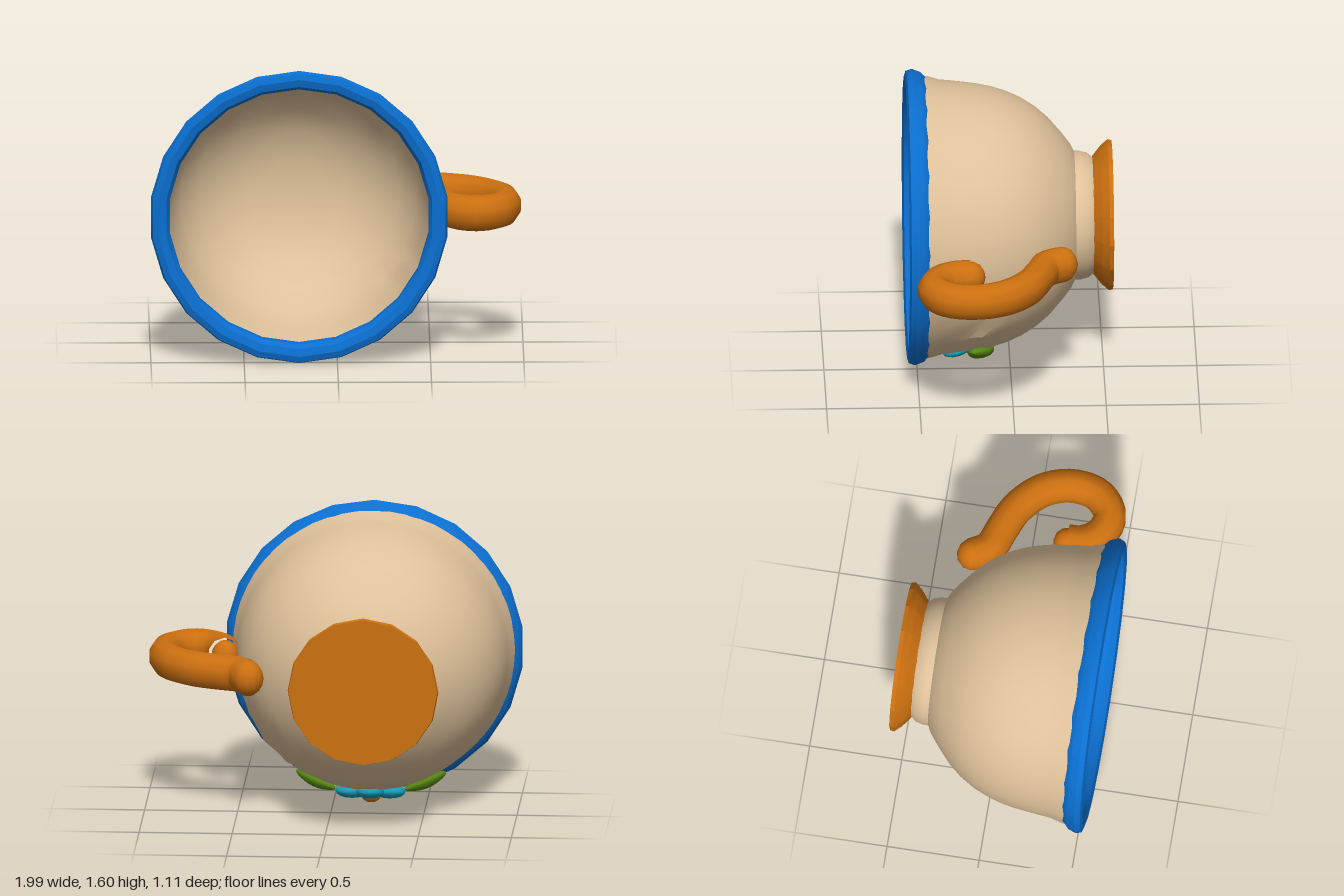
import * as THREE from 'three';
import { toCreasedNormals } from 'three/addons/utils/BufferGeometryUtils.js';

const CX = -0.205, CY = 0.812; // cup axis runs along z through this point

const mat = (name, color) => {
  const m = new THREE.MeshStandardMaterial({ color });
  m.name = name;
  return m;
};

// Turned part whose profile is a list of [radius, z], running from back to front on the outside
function turned(profile, sides) {
  const g = new THREE.LatheGeometry(profile.map(([r, z]) => new THREE.Vector2(r, z)), sides);
  return g.rotateX(Math.PI / 2);
}

// Repeatable hash in the range 0..1
const hash = (a, b) => {
  const s = Math.sin(a * 12.9898 + b * 78.233) * 43758.5453;
  return s - Math.floor(s);
};

// Crumple the outer wall low on the handle side
function crumple(g) {
  const p = g.attributes.position;
  for (let i = 0; i < p.count; i++) {
    const x = p.getX(i), y = p.getY(i), z = p.getZ(i), r = Math.hypot(x, y);
    const a = Math.atan2(x, -y);
    const mask = Math.max(0, 1 - Math.abs(a - 0.85) / 0.45) * Math.max(0, 1 - Math.abs(z - 0.18) / 0.24);
    if (r < 0.6 || mask <= 0) continue;
    const k = 1 + Math.min(1, mask * 2) * (hash(Math.round(a * 40), Math.round(z * 40)) * 0.05 - 0.025);
    p.setXY(i, x * k, y * k);
  }
  return g;
}

export function createModel() {
  const model = new THREE.Group();
  const clay = mat('sand clay', 0xdec19a);
  const blue = mat('rim blue', 0x0b6fd0);
  const orange = mat('burnt orange', 0xcc7010);
  const teal = mat('petal teal', 0x149fb8);
  const green = mat('leaf green', 0x56890f);

  const add = (parent, name, geometry, material) => {
    const m = new THREE.Mesh(geometry, material);
    m.name = name;
    parent.add(m);
    return m;
  };

  const cup = new THREE.Group();
  cup.name = 'cup';
  cup.position.set(CX, CY, 0);
  model.add(cup);

  // Bowl: neck and outer wall, then back down the inner wall
  const bowl = [
    [0, -0.45], [0.31, -0.45], [0.335, -0.42], [0.345, -0.38], [0.345, -0.35], [0.385, -0.33], [0.45, -0.28],
    [0.53, -0.21], [0.59, -0.14], [0.64, -0.06], [0.675, 0.02], [0.697, 0.09], [0.712, 0.16],
    [0.722, 0.23], [0.73, 0.3], [0.737, 0.37], [0.755, 0.43], [0.765, 0.5],
    [0.71, 0.5], [0.69, 0.4], [0.675, 0.22], [0.63, 0.03], [0.54, -0.13], [0.42, -0.25],
    [0.28, -0.33], [0.14, -0.36], [0, -0.37],
  ];
  add(cup, 'bowl', toCreasedNormals(crumple(turned(bowl, 56)), 0.55), clay);

  // Rim band: closed ring around the mouth
  const rim = [
    [0.7, 0.45], [0.752, 0.44], [0.785, 0.47], [0.802, 0.515], [0.792, 0.545],
    [0.76, 0.555], [0.72, 0.545], [0.7, 0.51], [0.7, 0.45],
  ];
  add(cup, 'rim', toCreasedNormals(turned(rim, 22), 0.5), blue);

  // Flared foot
  const foot = [[0, -0.552], [0.4, -0.552], [0.405, -0.53], [0.37, -0.49], [0.3, -0.435], [0, -0.43]];
  add(cup, 'foot', toCreasedNormals(turned(foot, 16), 0.3), orange);

  // Handle: curled tube with rounded ends
  const handle = new THREE.Group();
  handle.name = 'handle';
  handle.position.y = CY;
  model.add(handle);
  const path = new THREE.CatmullRomCurve3([
    [0.43, -0.26], [0.48, -0.18], [0.6, -0.13], [0.73, -0.07], [0.85, 0.05], [0.9, 0.2],
    [0.87, 0.35], [0.76, 0.43], [0.645, 0.39], [0.59, 0.3], [0.585, 0.23],
  ].map(([x, z]) => new THREE.Vector3(x, 0, z)));
  const tube = add(handle, 'handleTube', new THREE.TubeGeometry(path, 36, 0.09, 10), orange);
  tube.scale.y = 1.1;
  for (const [name, x, z, r] of [['upperKnob', 0.43, -0.265, 0.085], ['lowerCurl', 0.58, 0.225, 0.075]]) {
    const knob = add(handle, name, new THREE.SphereGeometry(r, 12, 8), orange);
    knob.position.set(x, 0, z);
    knob.scale.y = 1.15;
  }

  // Frame on the underside of the bowl: angle around the axis, radius, z; local +y points outward
  function mount(name, angle, radius, z) {
    const turn = new THREE.Group();
    turn.rotation.z = angle;
    cup.add(turn);
    const g = new THREE.Group();
    g.name = name;
    g.position.set(0, -radius, z);
    g.rotation.x = Math.PI + 0.2;
    turn.add(g);
    return g;
  }

  // Flower: five petals around a button
  const flower = mount('flower', 0, 0.728, 0.2);
  for (let i = 0; i < 5; i++) {
    const a = (i / 5) * Math.PI * 2 + Math.PI / 2;
    const petal = add(flower, 'petal', new THREE.SphereGeometry(1, 12, 8), teal);
    petal.scale.set(0.092, 0.038, 0.075);
    petal.position.set(Math.cos(a) * 0.105, 0, Math.sin(a) * 0.105);
    petal.rotation.y = -a;
  }
  const button = add(flower, 'flowerButton', new THREE.SphereGeometry(0.052, 10, 8), orange);
  button.scale.y = 0.7;
  button.position.y = 0.025;

  // Leaves: flattened spheres narrowed to a point at each end, one on each side
  const leafShape = new THREE.SphereGeometry(1, 12, 10).rotateZ(Math.PI / 2);
  const lp = leafShape.attributes.position;
  for (let i = 0; i < lp.count; i++) {
    const k = 1 - 0.35 * lp.getX(i) ** 2;
    lp.setXYZ(i, lp.getX(i), lp.getY(i) * k, lp.getZ(i) * k);
  }
  leafShape.computeVertexNormals();
  for (const side of [1, -1]) {
    const leaf = add(mount('leafMount', side * 0.42, 0.722, 0.16), 'leaf', leafShape, green);
    leaf.scale.set(0.125, 0.04, 0.068);
    leaf.rotation.y = side * 0.42;
  }
  return model;
}
